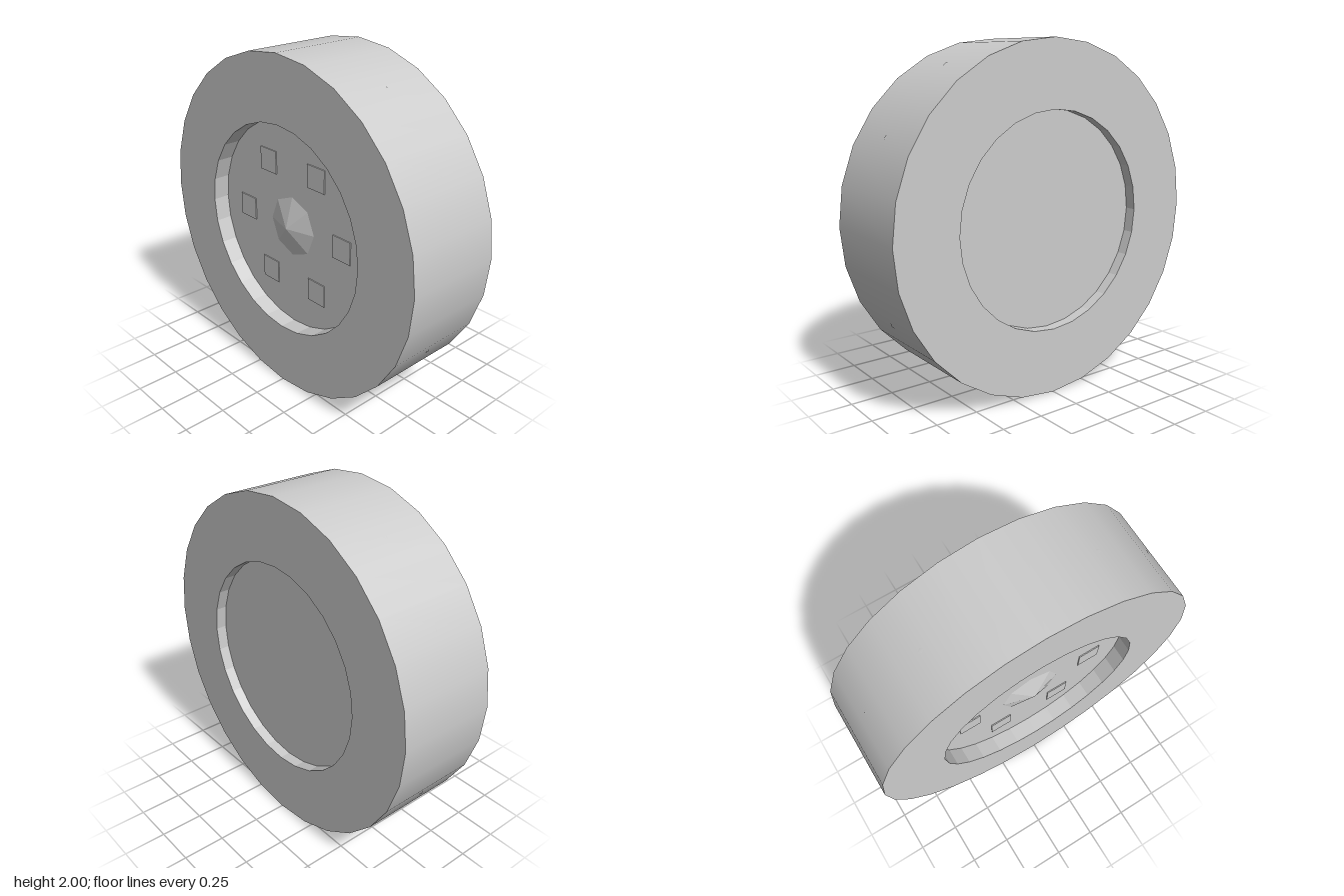
import * as THREE from 'three';

const SIDES = 28, OUTER = 1, INNER = 0.62, HALF = 0.3;
const FLOOR = 0.2, BACK = -0.235;

export function createModel() {
  const model = new THREE.Group();
  model.name = 'wheel';
  const smooth = new THREE.MeshStandardMaterial({ color: 0xcccccc });
  const flat = new THREE.MeshStandardMaterial({ color: 0xcccccc, flatShading: true });
  const flatDouble = new THREE.MeshStandardMaterial({ color: 0xcccccc, flatShading: true, side: THREE.DoubleSide });

  const add = (name, geometry, material, parent = model) => {
    const mesh = new THREE.Mesh(geometry, material);
    mesh.name = name;
    parent.add(mesh);
    return mesh;
  };
  // cylinder lying along z
  const drum = (r, depth, open) =>
    new THREE.CylinderGeometry(r, r, depth, SIDES, 1, open).rotateX(Math.PI / 2);

  // tyre: smooth tread, faceted inner wall and two flat side walls
  const tyre = new THREE.Group();
  tyre.name = 'tyre';
  model.add(tyre);
  add('tread', drum(OUTER, 2 * HALF, true), smooth, tyre);
  add('innerWall', drum(INNER, 2 * HALF, true), flatDouble, tyre);
  add('frontSidewall', new THREE.RingGeometry(INNER, OUTER, SIDES), flat, tyre).position.z = HALF;
  const backWall = add('backSidewall', new THREE.RingGeometry(INNER, OUTER, SIDES), flat, tyre);
  backWall.rotation.y = Math.PI;
  backWall.position.z = -HALF;

  // coarse ring inside the tyre, whose corners just break through the tread
  add('tyreCore', new THREE.TorusGeometry(0.81, 0.19, 8, 12), smooth, tyre);

  // rim disc, set in from both sides
  add('rim', drum(INNER, FLOOR - BACK, false), flat).position.z = (FLOOR + BACK) / 2;

  // low eight-sided hub cap
  const hub = new THREE.ConeGeometry(0.18, 0.05, 8).rotateX(Math.PI / 2);
  add('hubCap', hub, flat).position.z = FLOOR + 0.027;

  // six square wheel nuts, barely proud of the rim
  for (let i = 0; i < 6; i++) {
    const a = (i * Math.PI) / 3;
    add('wheelNut', new THREE.BoxGeometry(0.135, 0.135, 0.06), flat)
      .position.set(0.4 * Math.cos(a), 0.4 * Math.sin(a), FLOOR - 0.024);
  }

  // stand the wheel on the floor
  for (const part of model.children) part.position.y += OUTER;
  return model;
}
